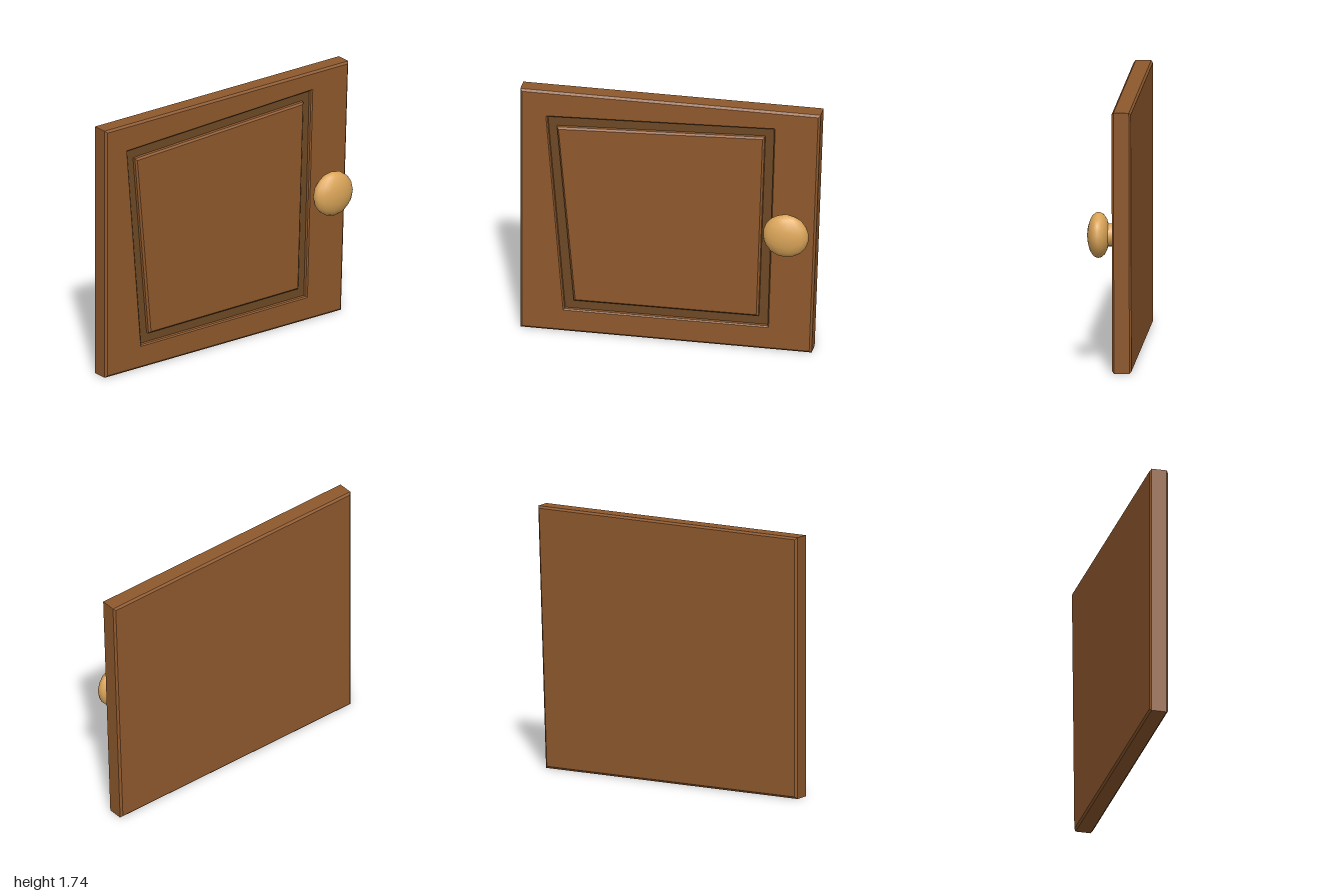
import * as THREE from 'three';

// Corners as [z, y], counter-clockwise seen from +x: low left, low right, high right, high left.
const OUTER = [[1, 0], [-0.94, 0], [-1, 1.74], [1, 1.74]];
const RECESS = [[0.705, 0.162], [-0.648, 0.168], [-0.692, 1.61], [0.82, 1.555]];
const PANEL = [[0.645, 0.226], [-0.588, 0.234], [-0.63, 1.547], [0.757, 1.488]];

// A four-sided ring at depth x, its corners pulled inward by inset.
function ring(corners, x, inset = 0) {
  return corners.map(([z, y], i) => new THREE.Vector3(
    x,
    y + (i < 2 ? inset : -inset),
    z + (i === 0 || i === 3 ? -inset : inset),
  ));
}

// Joins successive rings with flat bands, optionally closing the first and last.
function loft(rings, capStart = false, capEnd = false) {
  const points = [];
  const quad = (a, b, c, d) => points.push(a, b, c, a, c, d);
  for (let r = 0; r + 1 < rings.length; r++) {
    const a = rings[r], b = rings[r + 1];
    for (let i = 0; i < 4; i++) {
      const j = (i + 1) % 4;
      quad(a[i], a[j], b[j], b[i]);
    }
  }
  if (capStart) quad(...[...rings[0]].reverse());
  if (capEnd) quad(...rings[rings.length - 1]);
  const geometry = new THREE.BufferGeometry().setFromPoints(points);
  geometry.computeVertexNormals();
  return geometry;
}

export function createModel() {
  const wood = new THREE.MeshStandardMaterial({ color: 0x8f592d });
  wood.name = 'brown wood';
  const darkWood = new THREE.MeshStandardMaterial({ color: 0x6d4824 });
  darkWood.name = 'dark wood';
  const paleWood = new THREE.MeshStandardMaterial({ color: 0xdca65a });
  paleWood.name = 'pale wood';

  const model = new THREE.Group();
  model.name = 'cupboardDoor';
  const add = (name, geometry, material, parent = model) => {
    const mesh = new THREE.Mesh(geometry, material);
    mesh.name = name;
    parent.add(mesh);
    return mesh;
  };

  // Bevelled slab with a closed back and an open recess in its face
  add('frame', loft([
    ring(OUTER, -0.15, 0.014),
    ring(OUTER, -0.138),
    ring(OUTER, -0.037),
    ring(OUTER, -0.024, 0.014),
    ring(RECESS, -0.024, -0.008),
    ring(RECESS, -0.032),
    ring(RECESS, -0.05, 0.002),
  ], true), wood);

  // Dark floor of the recess
  add('groove', loft([ring(RECESS, -0.05, 0.002), ring(PANEL, -0.05)]), darkWood);

  // Raised centre panel with a bevelled edge
  add('panel', loft([
    ring(PANEL, -0.05),
    ring(PANEL, -0.032, 0.002),
    ring(PANEL, -0.02, 0.014),
  ], false, true), wood);

  // Knob: short stem and a flattened ball
  const knob = new THREE.Group();
  knob.name = 'knob';
  knob.position.set(0, 0.894, -0.79);
  model.add(knob);
  const stem = new THREE.CylinderGeometry(0.076, 0.076, 0.08, 12);
  stem.rotateZ(-Math.PI / 2);
  add('knobStem', stem, paleWood, knob).position.x = 0.01;
  const ball = new THREE.IcosahedronGeometry(0.153, 2);
  ball.scale(0.49, 1, 1);
  add('knobBall', ball, paleWood, knob).position.x = 0.075;

  return model;
}
